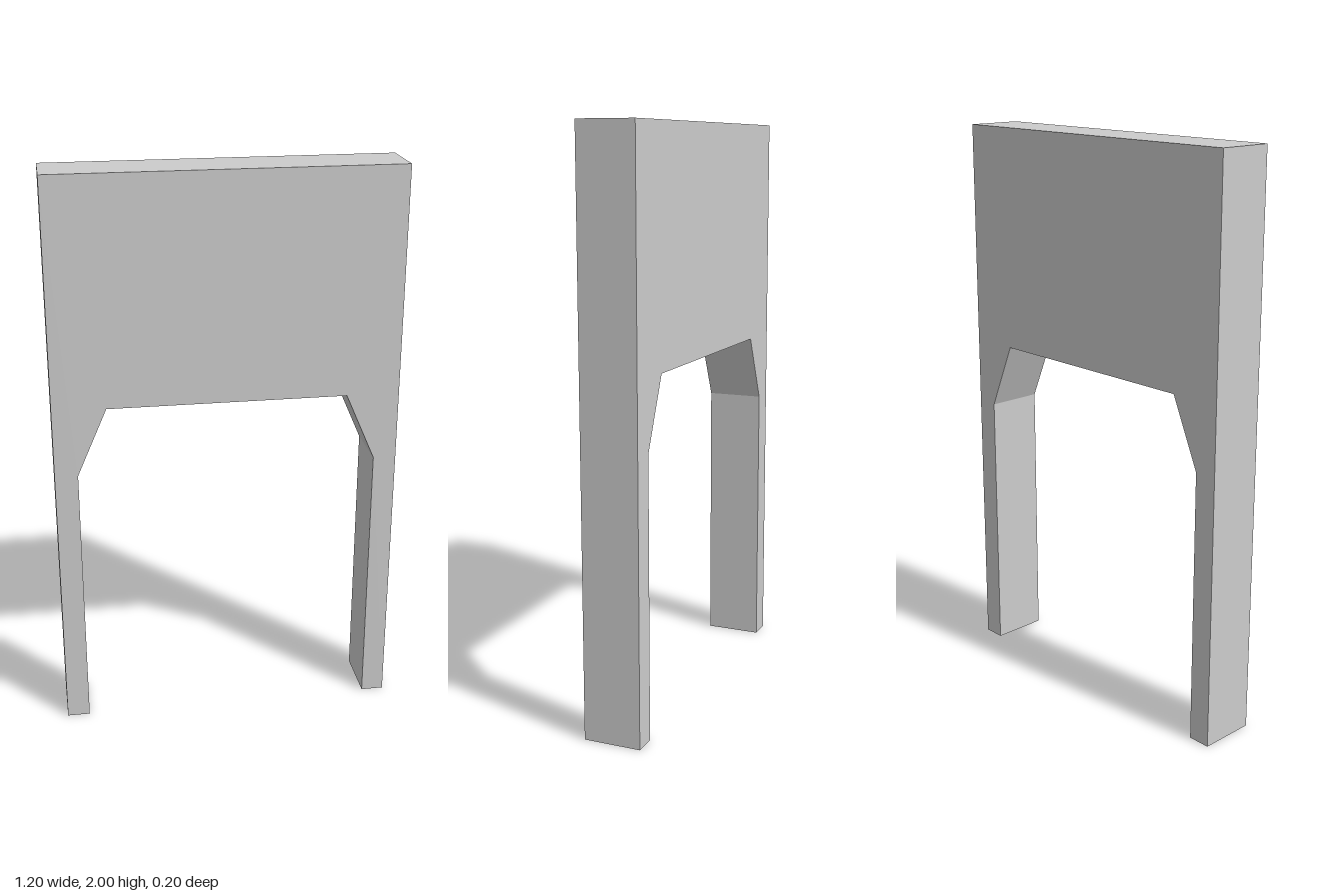
import * as THREE from 'three';

const DEPTH = 0.2;

export function createModel() {
  const group = new THREE.Group();
  group.name = 'doorwayWall';

  // Half outline on +x: opening top, chamfered corner, leg, outer edge, top
  const half = [
    [0.415, 1.21], [0.52, 0.97], [0.52, 0], [0.6, 0], [0.6, 2],
  ];
  const mirrored = half.map(([x, y]) => [-x, y]).reverse();
  const outline = [...half, ...mirrored].map(([x, y]) => new THREE.Vector2(x, y));

  // Wall slab with the open doorway, extruded through its thickness
  const geometry = new THREE.ExtrudeGeometry(new THREE.Shape(outline), {
    depth: DEPTH,
    bevelEnabled: false,
  });
  geometry.translate(0, 0, -DEPTH / 2);

  const material = new THREE.MeshStandardMaterial({ color: 0xcccccc, flatShading: true });
  const wall = new THREE.Mesh(geometry, material);
  wall.name = 'archWall';
  group.add(wall);

  return group;
}
